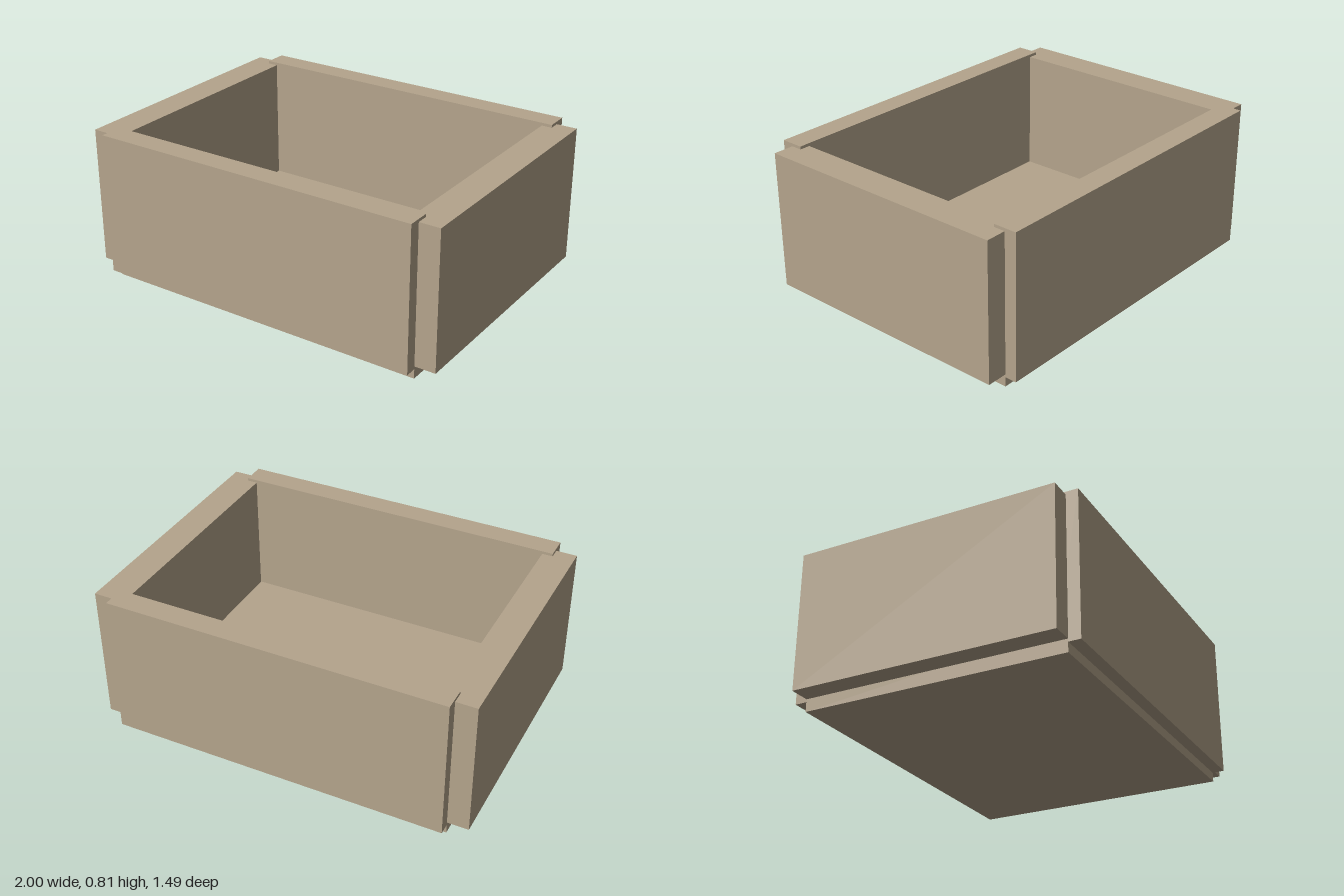
import * as THREE from 'three';

export function createModel() {
  const model = new THREE.Group();
  model.name = 'openBox';
  const wood = new THREE.MeshStandardMaterial({ color: 0xb4a48c });
  wood.name = 'paleWood';

  // Adds a board spanning the given ranges on each axis
  function board(name, [x0, x1], [y0, y1], [z0, z1]) {
    const mesh = new THREE.Mesh(new THREE.BoxGeometry(x1 - x0, y1 - y0, z1 - z0), wood);
    mesh.position.set((x0 + x1) / 2, (y0 + y1) / 2, (z0 + z1) / 2);
    mesh.name = name;
    model.add(mesh);
  }

  // Floor slab, standing slightly below the walls
  board('floor', [-0.89, 0.89], [0, 0.13], [-0.685, 0.685]);

  // Long front and back walls, a little taller than the ends
  board('frontWall', [-0.89, 0.89], [0.05, 0.805], [0.625, 0.747]);
  board('backWall', [-0.89, 0.89], [0.05, 0.805], [-0.747, -0.625]);

  // Thick end walls, overlapping the floor and the long walls
  board('leftWall', [0.835, 1], [0.065, 0.79], [-0.685, 0.685]);
  board('rightWall', [-1, -0.835], [0.065, 0.79], [-0.685, 0.685]);

  return model;
}
